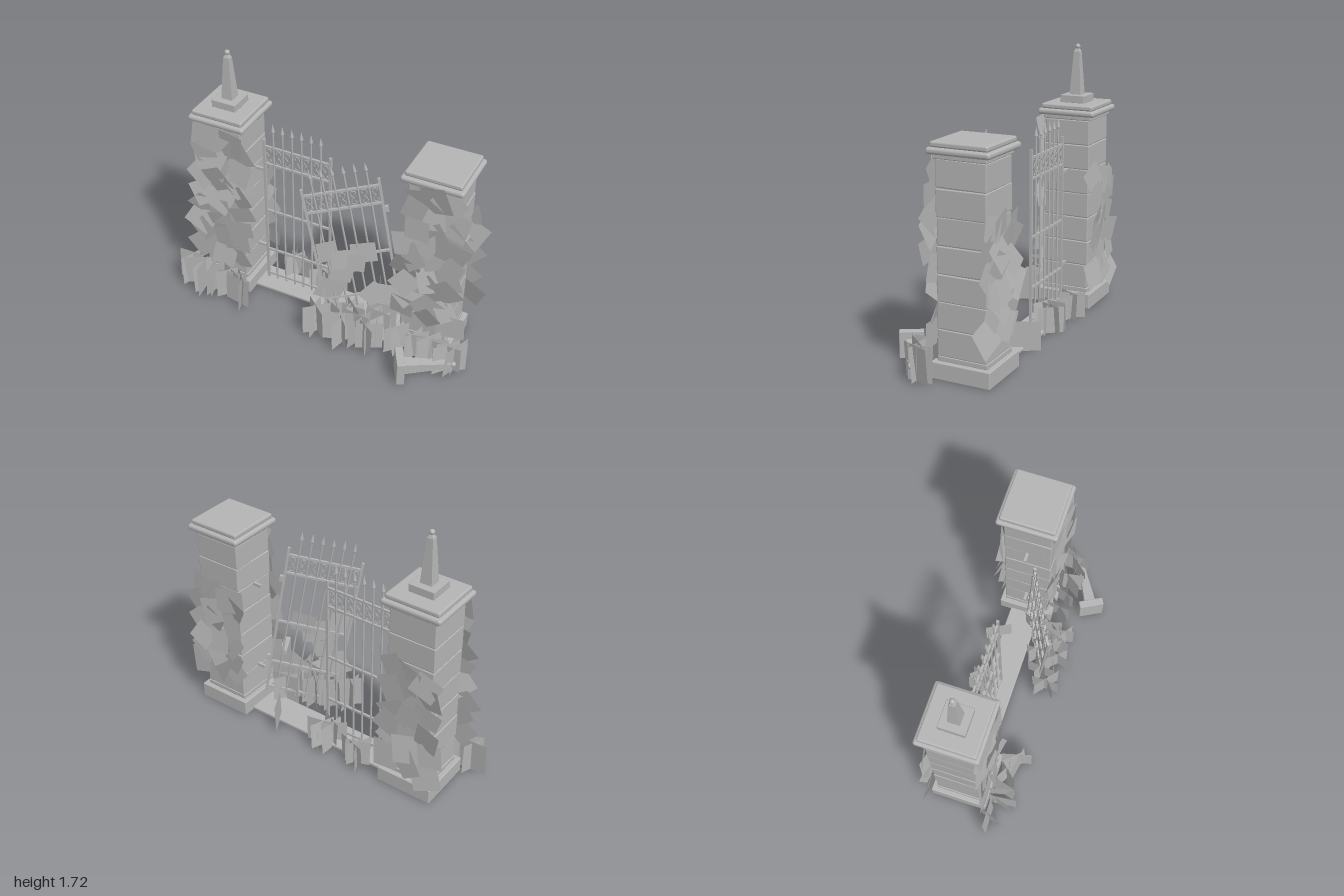
import * as THREE from 'three';
import { RoundedBoxGeometry } from 'three/addons/geometries/RoundedBoxGeometry.js';

const stone = new THREE.MeshStandardMaterial({ color: 0xb4b4b4, side: THREE.DoubleSide });
stone.name = 'grey';

// small seeded random, returns a value between a and b
let seed = 11;
function rnd(a, b) {
  seed = (seed * 16807) % 2147483647;
  return a + (b - a) * (seed / 2147483647);
}

function add(parent, name, geo, x = 0, y = 0, z = 0) {
  const m = new THREE.Mesh(geo, stone);
  m.name = name;
  m.position.set(x, y, z);
  parent.add(m);
  return m;
}

function group(parent, name, x = 0, y = 0, z = 0) {
  const g = new THREE.Group();
  g.name = name;
  g.position.set(x, y, z);
  parent.add(g);
  return g;
}

// four-sided tapered shaft with flat faces, standing on y = 0
function taper(bottom, top, h) {
  let g = new THREE.CylinderGeometry(top * Math.SQRT2, bottom * Math.SQRT2, h, 4);
  g.rotateY(Math.PI / 4);
  g.translate(0, h / 2, 0);
  g = g.toNonIndexed();
  g.computeVertexNormals();
  return g;
}

// obelisk on a square foot, topped with a ball
function obelisk(parent, name, x, y, z) {
  const o = group(parent, name, x, y, z);
  add(o, 'foot', new RoundedBoxGeometry(0.165, 0.05, 0.165, 1, 0.004), 0, 0.025, 0);
  add(o, 'shaft', taper(0.038, 0.019, 0.275), 0, 0.05, 0);
  add(o, 'shaftTip', taper(0.019, 0.006, 0.025), 0, 0.325, 0);
  add(o, 'ball', new THREE.SphereGeometry(0.017, 14, 10), 0, 0.357, 0);
  return o;
}

// block pillar with base and stepped cap
function pillar(parent, name, x) {
  const p = group(parent, name, x, 0, -0.135);
  const slab = (n, w, y0, y1, r) =>
    add(p, n, new RoundedBoxGeometry(w, y1 - y0, w, 2, r), 0, (y0 + y1) / 2, 0);
  slab('base', 0.37, 0, 0.102, 0.006);
  slab('baseCourse', 0.31, 0.1, 0.131, 0.005);
  for (let i = 0; i < 7; i++) {
    const b = slab('block', rnd(0.3, 0.31), 0.13 + i * 0.16, 0.289 + i * 0.16, 0.007);
    b.rotation.set(rnd(-0.012, 0.012), rnd(-0.01, 0.01), rnd(-0.012, 0.012));
  }
  slab('core', 0.295, 0.1, 1.26, 0.004);
  slab('neck', 0.325, 1.25, 1.28, 0.006);
  slab('capLower', 0.388, 1.277, 1.315, 0.017);
  slab('capUpper', 0.35, 1.313, 1.347, 0.012);
}

// one leaf sheet: a square card lying roughly in the xy plane
function sheet(parent, x, y, z, size, tilt) {
  const m = add(parent, 'ivySheet', new THREE.PlaneGeometry(size, size * rnd(0.75, 1.05)), x, y, z);
  m.rotation.set(rnd(-tilt, tilt), rnd(-tilt, tilt), rnd(0, 3.14));
}

// overlapping ivy sheets on one face of a pillar, wider near the ground
function ivy(parent, name, x, z, y0, y1, rows, out) {
  const g = group(parent, name, x, 0, z);
  if (out < 0) g.rotation.y = Math.PI;
  for (let r = 0; r < rows; r++) {
    const t = r / (rows - 1);
    for (let c = -1; c <= 1; c++) {
      const y = y0 + (y1 - y0) * t + rnd(-0.03, 0.03);
      sheet(g, c * (0.14 - 0.03 * t) + rnd(-0.03, 0.03), y, rnd(0.01, 0.04), rnd(0.15, 0.19), 0.28);
    }
  }
}

// grass tuft made of n upright cards fanned around a main heading
function tuft(parent, x, z, h, n, yaw, fan) {
  const g = group(parent, 'grassTuft', x, 0, z);
  for (let i = 0; i < n; i++) {
    const hh = h * rnd(0.92, 1.03);
    const geo = new THREE.PlaneGeometry(rnd(0.15, 0.2), hh);
    geo.translate(0, hh / 2, 0);
    const m = add(g, 'grassCard', geo, rnd(-0.025, 0.025), 0, rnd(-0.02, 0.02));
    m.rotation.order = 'YXZ';
    m.rotation.set(rnd(-0.1, 0.1), yaw + ((i + 0.5) / n - 0.5) * fan + rnd(-0.15, 0.15), 0);
  }
}

// iron gate leaf, its lower left corner at the origin
function gateLeaf(parent, name, x, y, z) {
  const W = 0.46, BAYS = 7;
  const g = group(parent, name, x, y, z);
  for (const sx of [0, W])
    add(g, 'stile', new THREE.BoxGeometry(0.016, 1.12, 0.016), sx, 0.59, 0);
  for (const ry of [0.065, 0.275, 0.6, 0.97, 1.1])
    add(g, 'rail', new THREE.BoxGeometry(W, 0.014, 0.014), W / 2, ry, 0);
  const bar = new THREE.CylinderGeometry(0.0065, 0.0065, 1.2, 8);
  const spike = new THREE.ConeGeometry(0.013, 0.055, 6);
  const collar = new THREE.SphereGeometry(0.009, 8, 6);
  for (let i = 1; i < BAYS; i++) {
    const bx = (W * i) / BAYS;
    add(g, 'bar', bar, bx, 0.63, 0);
    add(g, 'spike', spike, bx, 1.252, 0);
    add(g, 'collar', collar, bx, 1.222, 0);
  }
  // scrolls between the two upper rails, alternately mirrored
  for (let i = 0; i < BAYS; i++) {
    const s = i % 2 ? 1 : -1;
    const pts = [[-8, 24], [-16, 34], [-8, 46], [8, 46], [17, 31], [9, 10], [-3, 0],
      [9, -10], [17, -31], [8, -46], [-8, -46], [-16, -34], [-8, -24]]
      .map(([a, b]) => new THREE.Vector3((s * a) / 1000, b / 1000, 0));
    const curve = new THREE.CatmullRomCurve3(pts);
    add(g, 'scroll', new THREE.TubeGeometry(curve, 36, 0.0035, 5), (W * (i + 0.5)) / BAYS, 1.035, 0);
  }
  return g;
}

export function createModel() {
  const root = new THREE.Group();
  root.name = 'ruinedGateway';

  // masonry
  pillar(root, 'rightPillar', -0.712);
  pillar(root, 'leftPillar', 0.7);
  add(root, 'threshold', new RoundedBoxGeometry(1.2, 0.024, 0.205, 2, 0.008), 0, 0.012, -0.14);
  obelisk(root, 'standingObelisk', -0.712, 1.345, -0.135);
  const fallen = obelisk(root, 'fallenObelisk', 0.645, 0.0845, 0.305);
  fallen.rotation.set(0, 0.5, -Math.PI / 2, 'YXZ');

  // upright gate and its hinges
  gateLeaf(root, 'uprightGate', -0.482, 0, -0.135);
  for (const y of [0.3, 0.92])
    for (const x of [-0.52, 0.52])
      add(root, 'hinge', new THREE.BoxGeometry(0.06, 0.018, 0.018), x, y, -0.135);

  // broken gate leaning off its hinges
  const lean = group(root, 'leaningGate', 0.113, -0.015, 0.1);
  lean.rotation.y = 0.49;
  const leaf = gateLeaf(lean, 'brokenLeaf', 0, 0, 0);
  leaf.rotation.z = 0.166;
  for (const y of [0.3, 0.92])
    add(leaf, 'hingeTab', new THREE.BoxGeometry(0.03, 0.04, 0.02), 0.475, y, 0);

  // ivy caught on the broken gate
  const caught = [[0.08, 0.65], [0.17, 0.59], [0.28, 0.64], [0.24, 0.56], [0.16, 0.46],
    [0.1, 0.34], [0.34, 0.31], [0.41, 0.3]];
  for (const [x, y] of caught)
    sheet(lean, (x - 0.113) / 0.883, y + 0.015, rnd(0.005, 0.02), rnd(0.13, 0.165), 0.12);

  // ivy on the pillars, front and back
  ivy(root, 'rightFrontIvy', -0.722, 0.02, 0.3, 1.2, 9, 1);
  ivy(root, 'leftFrontIvy', 0.72, 0.02, 0.3, 1.18, 9, 1);
  ivy(root, 'rightBackIvy', -0.73, -0.29, 0.22, 0.86, 6, -1);
  ivy(root, 'leftBackIvy', 0.73, -0.29, 0.3, 0.88, 6, -1);

  // grass around the feet: x, z, height, cards, heading, fan
  const tufts = [
    [-0.93, 0.1, 0.23, 3, 0.5, 1.8], [-0.85, 0.13, 0.22, 2, 1.4, 0.8], [-0.75, 0.12, 0.23, 2, 1.5, 0.8],
    [-0.64, 0.12, 0.22, 3, 0.2, 1.8], [-0.54, 0.15, 0.22, 3, -0.7, 1.4],
    [0.05, 0.18, 0.22, 3, 1.5, 2.4], [0.13, 0.11, 0.23, 3, 0.6, 3], [0.2, 0.19, 0.22, 3, 1.3, 3],
    [0.25, 0.06, 0.22, 4, 0.5, 3], [0.3, 0.13, 0.23, 4, 0.9, 3], [0.38, 0.18, 0.22, 3, -0.5, 3],
    [0.43, 0.06, 0.22, 3, 0.9, 3], [0.4, -0.02, 0.21, 2, 0.5, 2],
    [0.58, 0.09, 0.21, 2, 1.1, 1.2], [0.7, 0.1, 0.21, 3, 0.8, 1.6], [0.8, 0.09, 0.22, 3, 1, 2],
    [0.91, 0.12, 0.22, 3, 0.4, 1.6], [0.96, 0.09, 0.23, 2, 1.35, 0.5],
    [-0.33, -0.26, 0.17, 4, 0.8, 3.1], [-0.11, -0.22, 0.18, 3, 0.6, 3], [-0.05, -0.25, 0.18, 3, 1.2, 3],
    [0.27, -0.25, 0.2, 1, 2.1, 1]];
  for (const t of tufts) tuft(root, ...t);

  return root;
}
